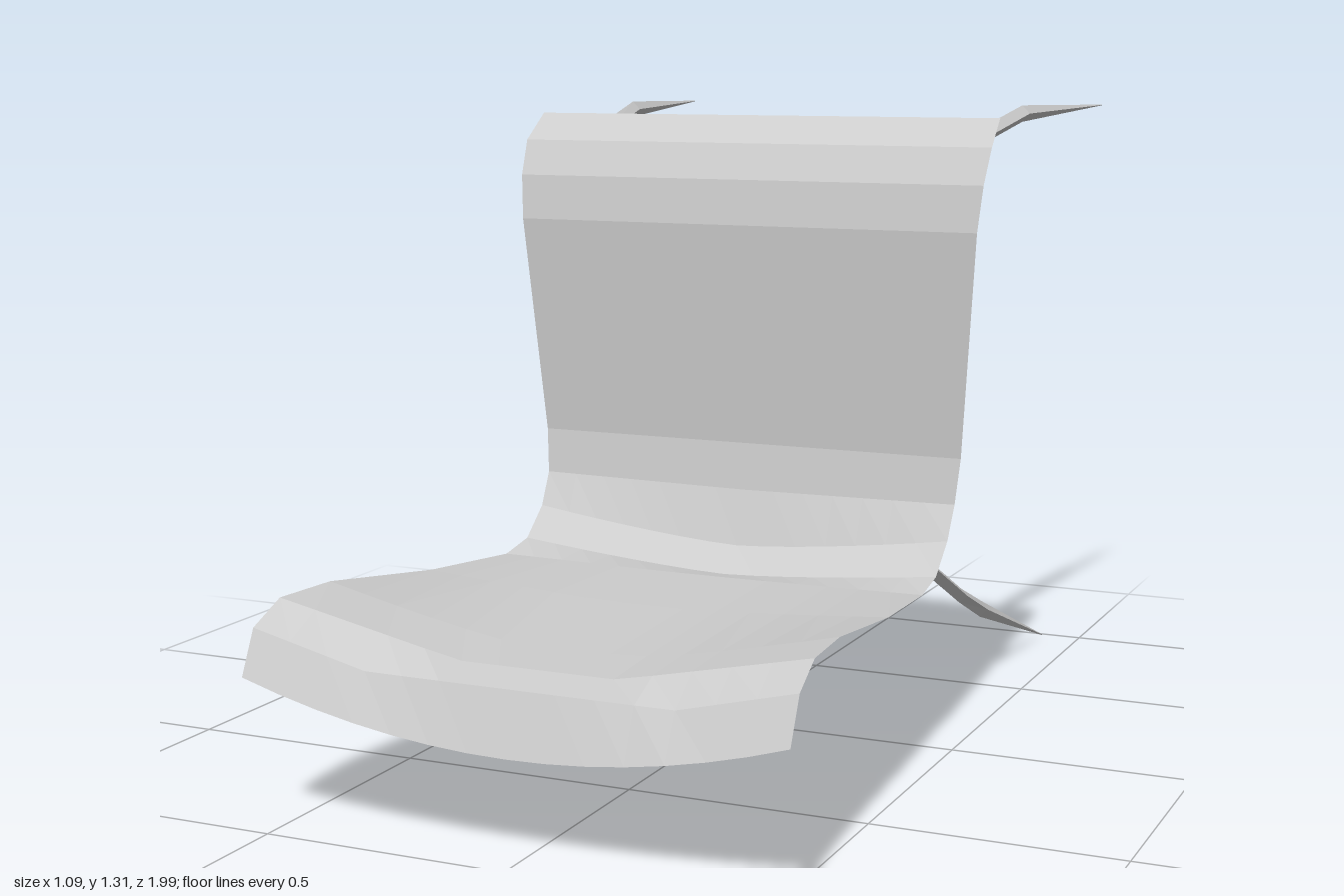
import * as THREE from 'three';

const material = new THREE.MeshStandardMaterial({ color: 0xcccccc, flatShading: true, side: THREE.DoubleSide });

// Skins a list of equal-length rows of points; closed joins each row into a ring.
function skin(rows, closed) {
  const n = rows[0].length, index = [];
  for (let r = 0; r < rows.length - 1; r++) {
    for (let c = 0; c < (closed ? n : n - 1); c++) {
      const a = r * n + c, b = r * n + (c + 1) % n;
      index.push(a, b, a + n, b, b + n, a + n);
    }
  }
  const geometry = new THREE.BufferGeometry();
  geometry.setAttribute('position', new THREE.Float32BufferAttribute(rows.flat(2), 3));
  geometry.setIndex(index);
  geometry.computeVertexNormals();
  return geometry;
}

// Shell rows, front lip to top of back:
// half width, side edge z and y, centre z and y, flat centre half width, curve power
const shellRows = [
  [0.545, 1.00, 0.295, 0.99, 0.205, 0, 2],
  [0.545, 0.96, 0.38, 0.95, 0.32, 0.31, 1],
  [0.54, 0.88, 0.42, 0.87, 0.337, 0.16, 1],
  [0.528, 0.73, 0.42, 0.73, 0.34, 0.12, 1.2],
  [0.50, 0.40, 0.376, 0.40, 0.35, 0.1, 1.2],
  [0.475, 0.13, 0.357, 0.13, 0.353, 0.1, 1],
  [0.473, 0.04, 0.375, 0.04, 0.337, 0, 1.4],
  [0.473, -0.03, 0.435, -0.03, 0.385, 0, 1.4],
  [0.475, -0.068, 0.505, -0.068, 0.50, 0, 1],
  [0.483, -0.08, 0.60, -0.08, 0.60, 0, 1],
  [0.52, -0.047, 1.07, -0.047, 1.07, 0, 1],
  [0.528, -0.06, 1.165, -0.06, 1.165, 0, 1],
  [0.533, -0.095, 1.24, -0.095, 1.24, 0, 1],
  [0.528, -0.165, 1.297, -0.165, 1.297, 0, 1],
];

function makeShell() {
  const columns = 14;
  const rows = shellRows.map(([w, ez, ey, mz, my, flat, power]) =>
    Array.from({ length: columns + 1 }, (_, i) => {
      const x = w * (2 * i / columns - 1);
      const t = Math.max(0, (Math.abs(x) - flat) / (w - flat)) ** power;
      return [x, my + (ey - my) * t, mz + (ez - mz) * t];
    }));
  const mesh = new THREE.Mesh(skin(rows, false), material);
  mesh.name = 'seatAndBackShell';
  return mesh;
}

// Leg centre line, upper tip to lower tip: x, y, z, half width, half thickness
const legPath = [
  [0.53, 1.306, -0.99, 0.001, 0.001],
  [0.475, 1.297, -0.52, 0.017, 0.018],
  [0.445, 1.25, -0.29, 0.018, 0.018],
  [0.432, 1.205, -0.20, 0.018, 0.01],
  [0.428, 1.13, -0.12, 0.018, 0.018],
  [0.412, 0.90, -0.097, 0.018, 0.019],
  [0.39, 0.60, -0.113, 0.018, 0.016],
  [0.372, 0.43, -0.138, 0.018, 0.013],
  [0.367, 0.345, -0.19, 0.018, 0.016],
  [0.377, 0.225, -0.42, 0.018, 0.016],
  [0.386, 0.165, -0.55, 0.017, 0.018],
  [0.408, 0.002, -0.99, 0.001, 0.001],
];

// Tapered leg with a diamond section turned along its path
function makeLeg(side) {
  const rows = legPath.map(([x, y, z, w, h], i) => {
    const a = legPath[Math.max(0, i - 1)], b = legPath[Math.min(legPath.length - 1, i + 1)];
    const length = Math.hypot(b[1] - a[1], b[2] - a[2]);
    const ny = (b[2] - a[2]) / length * h, nz = -(b[1] - a[1]) / length * h;
    const cx = side * x - 0.006 * Math.max(0, y - 0.4);
    return [[cx + w, y, z], [cx, y + ny, z + nz], [cx - w, y, z], [cx, y - ny, z - nz]];
  });
  const mesh = new THREE.Mesh(skin(rows, true), material);
  mesh.name = side > 0 ? 'leftLegFrame' : 'rightLegFrame';
  return mesh;
}

export function createModel() {
  const group = new THREE.Group();
  group.name = 'chair';
  group.add(makeShell(), makeLeg(1), makeLeg(-1));
  return group;
}
